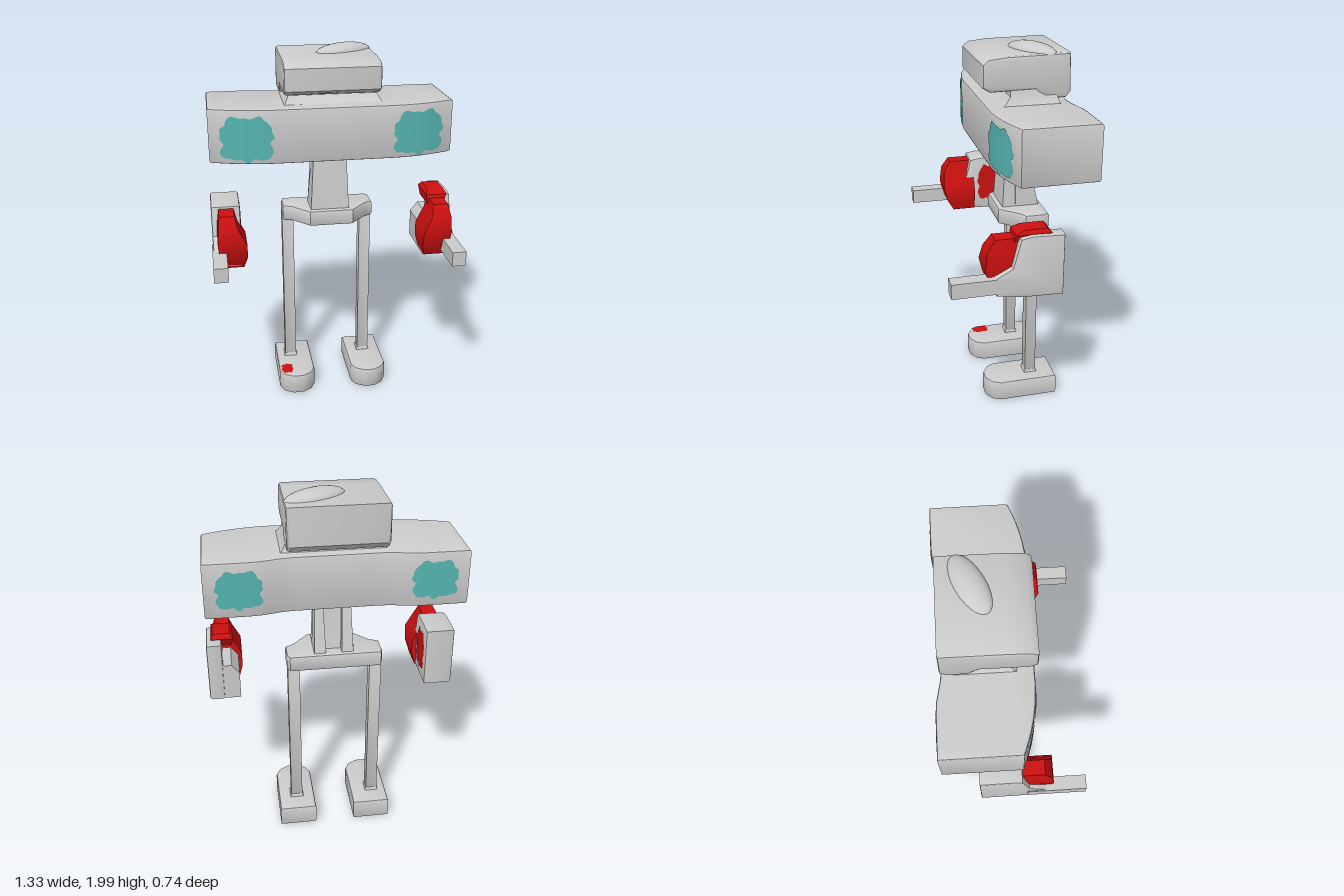
import * as THREE from 'three';
import { toCreasedNormals } from 'three/addons/utils/BufferGeometryUtils.js';

const grey = new THREE.MeshStandardMaterial({ color: 0xcccccc });
const red = new THREE.MeshStandardMaterial({ color: 0xcc1010, side: THREE.DoubleSide });
const cyan = new THREE.MeshStandardMaterial({ color: 0x55b5b0, side: THREE.DoubleSide });

export function createModel() {
  const model = new THREE.Group();

  function add(name, geometry, material = grey, parent = model) {
    const mesh = new THREE.Mesh(geometry, material);
    mesh.name = name;
    parent.add(mesh);
    return mesh;
  }

  // Outline extruded with a small bevel that stays inside the given outline
  function bevelled(points, depth, b) {
    const shape = new THREE.Shape(points.map(([x, y]) => new THREE.Vector2(x, y)));
    const g = new THREE.ExtrudeGeometry(shape, {
      depth: depth - 2 * b, bevelThickness: b, bevelSize: b, bevelOffset: -b, bevelSegments: 2,
    });
    return toCreasedNormals(g.translate(0, 0, b), 0.7);
  }
  // Outline in [x, z], rising from y0 to y1
  const plan = (pts, y0, y1, b = 0.012) =>
    bevelled(pts.map(([x, z]) => [x, -z]), y1 - y0, b).rotateX(-Math.PI / 2).translate(0, y0, 0);
  // Outline in [z, y], running from x0 to x1
  const profile = (pts, x0, x1, b = 0.01) =>
    bevelled(pts, x1 - x0, b).rotateY(-Math.PI / 2).translate(x1, 0, 0);

  // Box whose sides follow levels of [y, x0, x1, z0, z1]
  function stack(levels) {
    const n = levels.length - 1;
    const g = new THREE.BoxGeometry(1, 1, 1, 1, n, 1);
    const p = g.attributes.position;
    for (let i = 0; i < p.count; i++) {
      const [y, x0, x1, z0, z1] = levels[Math.round((p.getY(i) + 0.5) * n)];
      p.setXYZ(i, p.getX(i) < 0 ? x0 : x1, y, p.getZ(i) < 0 ? z0 : z1);
    }
    return toCreasedNormals(g, 0.6);
  }

  // Ragged paint patch laid on a surface given by place(u, v), u and v in -1..1
  function patch(place) {
    const g = new THREE.PlaneGeometry(2, 2, 14, 14);
    const p = g.attributes.position;
    for (let i = 0; i < p.count; i++) {
      const x = p.getX(i), y = p.getY(i);
      const a = Math.atan2(y, x);
      const r = 0.92 + 0.06 * Math.sin(7 * a) + 0.05 * Math.sin(12 * a + 1);
      p.setXYZ(i, ...place(x * r * (1 - 0.12 * y * y), y * r * (1 - 0.12 * x * x)));
    }
    g.computeVertexNormals();
    return g;
  }

  // Wide torso with bowed front and slightly waisted back
  const frontZ = x => 0.095 - 0.6 * Math.max(0, Math.abs(x) - 0.3) ** 2;
  const backZ = x => -0.34 - 0.03 * THREE.MathUtils.smoothstep(Math.abs(x), 0.22, 0.42);
  const outline = [];
  const N = 24;
  for (let i = 0; i <= N; i++) {
    const x = -0.65 + (1.3 * i) / N;
    outline.push([x, frontZ(x)]);
  }
  for (let i = N; i >= 0; i--) {
    const x = -0.65 + (1.3 * i) / N;
    outline.push([x, backZ(x)]);
  }
  add('torso', plan(outline.reverse(), 1.43, 1.72));
  for (const s of [-1, 1]) {
    add('frontPanel', patch((u, v) => {
      const x = s * 0.455 + 0.145 * u;
      return [x, 1.565 + 0.125 * v, frontZ(x) + 0.004];
    }), cyan);
    add('backPanel', patch((u, v) => {
      const x = s * 0.48 + 0.12 * u;
      return [x, 1.575 + 0.105 * v, backZ(x) - 0.004];
    }), cyan);
  }

  // Neck flaring into the shoulders
  add('neck', stack([
    [1.70, -0.27, 0.29, -0.3, 0.06], [1.725, -0.245, 0.265, -0.28, 0.0],
    [1.76, -0.225, 0.245, -0.27, -0.03], [1.82, -0.21, 0.23, -0.26, -0.03],
  ]));

  // Head: thin brow in front, deeper at the back, with a raised ridge on top
  add('head', profile([
    [0.11, 1.81], [0.11, 1.925], [0.08, 1.95], [-0.02, 1.96], [-0.34, 1.965],
    [-0.345, 1.77], [-0.32, 1.74], [-0.21, 1.74], [-0.16, 1.79], [0.07, 1.785],
  ], -0.26, 0.245, 0.015));
  const ridge = add('headRidge', new THREE.SphereGeometry(1, 24, 12));
  ridge.scale.set(0.17, 0.045, 0.075);
  ridge.rotation.y = 0.45;
  ridge.position.set(0.09, 1.955, -0.18);

  // Waist column with two ribs down its back
  add('waist', stack([
    [1.05, -0.12, 0.11, -0.19, -0.02], [1.13, -0.11, 0.1, -0.18, -0.03],
    [1.38, -0.095, 0.09, -0.13, -0.045], [1.45, -0.09, 0.09, -0.13, -0.06],
  ]));
  for (const s of [-1, 1]) {
    const c = s * 0.073;
    add('waistRib', stack([
      [1.08, c - 0.032, c + 0.032, -0.235, -0.1],
      [1.40, c - 0.022, c + 0.022, -0.165, -0.1],
      [1.45, c - 0.022, c + 0.022, -0.15, -0.1],
    ]));
  }

  // Pelvis: straight back edge, front narrowing forward
  add('pelvis', plan([
    [-0.25, -0.25], [0.235, -0.25], [0.25, -0.22], [0.25, -0.12], [0.21, -0.1],
    [0.12, 0.0], [-0.12, 0.0], [-0.21, -0.1], [-0.26, -0.12], [-0.26, -0.22],
  ].reverse(), 1.025, 1.115, 0.015));

  // Legs and feet
  for (const s of [-1, 1]) {
    const x = s < 0 ? -0.232 : 0.212;
    add('leg', plan([
      [x - 0.032, -0.13], [x + 0.032, -0.13], [x + 0.032, -0.19], [x - 0.032, -0.19],
    ], 0.1, 1.06, 0.008));
    add('ankle', stack([
      [0.12, x - 0.04, x + 0.04, -0.2, -0.12], [0.145, x - 0.033, x + 0.033, -0.19, -0.13],
    ]));
    const f = s * 0.213;
    add('foot', plan([
      [f - 0.103, -0.295], [f - 0.103, 0.03], [f - 0.08, 0.075], [f - 0.03, 0.105],
      [f + 0.03, 0.105], [f + 0.08, 0.075], [f + 0.103, 0.03], [f + 0.103, -0.295],
    ], 0.008, 0.128));
  }
  add('footMark', patch((u, v) => [-0.27 + 0.035 * u, 0.131, 0.02 + 0.05 * v]), red);

  // Forearms: flat outer slab, long barrel, red lump on the front
  const slab = [
    [-0.2, 0.86], [0.0, 0.865], [0.14, 0.885], [0.15, 0.98],
    [0.06, 1.03], [0.02, 1.18], [-0.04, 1.19], [-0.2, 1.185],
  ];
  for (const s of [-1, 1]) {
    const arm = new THREE.Group();
    arm.name = s < 0 ? 'rightForearm' : 'leftForearm';
    model.add(arm);
    const span = (a, b) => (s < 0 ? [-b, -a] : [a, b]);
    const level = (y, a, b, z0, z1) => [y, ...span(a, b), z0, z1];

    add('barrel', stack([
      level(0.9, 0.59, 0.665, 0.05, 0.365), level(0.98, 0.59, 0.665, 0.05, 0.365),
    ]), grey, arm);
    add('frontLump', stack([
      level(0.87, 0.5, 0.61, 0.0, 0.13), level(0.94, 0.48, 0.625, 0.0, 0.17),
      level(1.02, 0.48, 0.635, 0.0, 0.19), level(1.11, 0.525, 0.63, 0.0, 0.18),
      level(1.17, 0.54, 0.62, -0.01, 0.14),
    ]), red, arm);

    if (s < 0) {
      // Solid block with a painted inner face
      add('forearmBlock', profile(slab, -0.66, -0.505), grey, arm);
      add('innerMark', patch((u, v) => [-0.501, 1.03 + 0.12 * v, -0.1 + 0.08 * u]), red, arm);
    } else {
      // Outer slab and low block leaving a hollow on the inner side
      add('forearmSlab', profile(slab, 0.585, 0.665), grey, arm);
      add('forearmBase', stack([
        [0.86, 0.5, 0.62, -0.195, 0.1], [1.01, 0.5, 0.62, -0.195, 0.1],
        [1.06, 0.54, 0.62, -0.195, 0.05],
      ]), grey, arm);
      add('topArch', stack([
        [1.14, 0.53, 0.62, -0.11, 0.05], [1.19, 0.525, 0.64, -0.14, 0.04],
        [1.212, 0.54, 0.63, -0.12, 0.0],
      ]), red, arm);
    }
  }

  return model;
}
